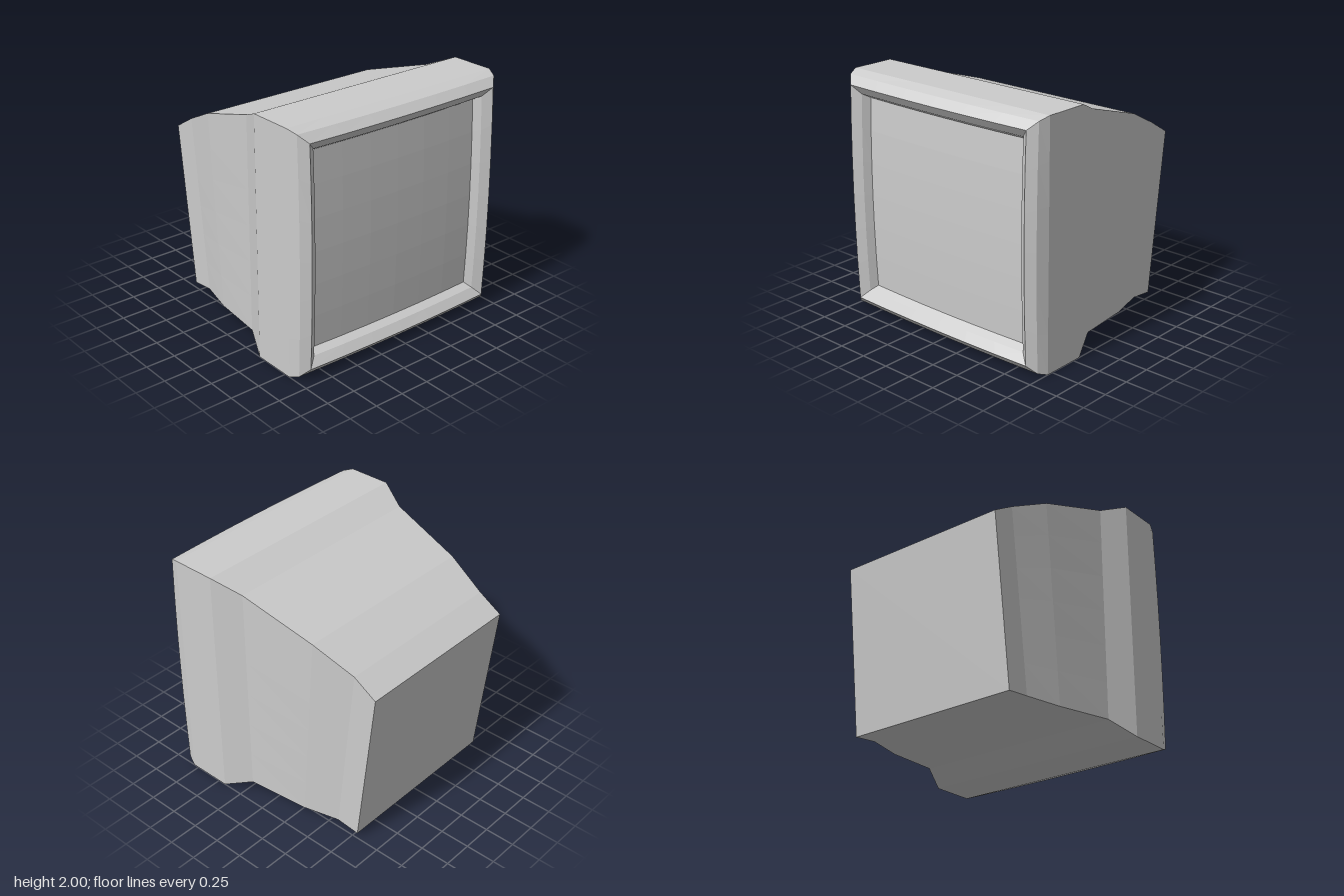
import * as THREE from 'three';

const SEG = 6; // subdivisions along each side of a square ring

// Square ring seen from +x, counterclockwise; its sides bow forward by `bow`.
function ring({ top, bot, hz, bow = 0 }) {
  const corners = [[bot, hz], [bot, -hz], [top, -hz], [top, hz]];
  const points = [];
  for (let i = 0; i < 4; i++) {
    const [p, z0] = corners[i];
    const [q, z1] = corners[(i + 1) % 4];
    for (let k = 0; k < SEG; k++) {
      const t = k / SEG;
      const u = 2 * t - 1;
      points.push([
        p[0] + (q[0] - p[0]) * t + bow * (1 - u * u),
        p[1] + (q[1] - p[1]) * t,
        z0 + (z1 - z0) * t,
      ]);
    }
  }
  return points;
}

// Upright ring centred on the screen axis
const square = (x, h, bow = 0) => ({ top: [x, 1 + h], bot: [x, 1 - h], hz: h, bow });

function addQuad(out, a, b, c, d) {
  out.push(...a, ...b, ...c, ...a, ...c, ...d);
}

// Faces between successive rings
function loft(out, sections) {
  const rings = sections.map(ring);
  for (let r = 0; r < rings.length - 1; r++) {
    const a = rings[r], b = rings[r + 1];
    for (let i = 0; i < a.length; i++) {
      const j = (i + 1) % a.length;
      addQuad(out, a[i], a[j], b[j], b[i]);
    }
  }
}

function toMesh(name, positions, material) {
  const geometry = new THREE.BufferGeometry();
  geometry.setAttribute('position', new THREE.Float32BufferAttribute(positions, 3));
  geometry.computeVertexNormals(); // unshared corners keep the facets flat
  const mesh = new THREE.Mesh(geometry, material);
  mesh.name = name;
  return mesh;
}

export function createModel() {
  const group = new THREE.Group();
  group.name = 'monitor';
  const grey = new THREE.MeshStandardMaterial({ color: 0xcccccc });
  grey.name = 'plastic grey';

  // Tapering housing, from the tilted back to the front edge
  const back = { top: [-0.96, 1.43], bot: [-0.8, 0.05], hz: 0.75 };
  const housing = [];
  loft(housing, [
    back,
    { top: [-0.76, 1.55], bot: [-0.6, 0.07], hz: 0.75 },
    { top: [-0.42, 1.71], bot: [-0.3, 0.065], hz: 0.82 },
    { top: [0.2, 1.9], bot: [0.2, 0.095], hz: 0.9 },
    square(0.43, 1),
    square(0.8, 1),
  ]);
  group.add(toMesh('housing', housing, grey));

  // Flat back panel
  const panel = [];
  const { top, bot, hz } = back;
  addQuad(panel, [...bot, hz], [...top, hz], [...top, -hz], [...bot, -hz]);
  group.add(toMesh('backPanel', panel, grey));

  // Rounded bezel, over the rim and into the recess
  const bezel = [];
  loft(bezel, [
    square(0.8, 1),
    square(0.88, 0.97, 0.02),
    square(0.94, 0.905, 0.02),
    square(0.89, 0.835, 0.02),
    square(0.83, 0.8, 0.02),
  ]);
  group.add(toMesh('bezel', bezel, grey));

  // Gently bulging screen
  const screen = [];
  const at = (i, j) => {
    const u = (2 * i) / SEG - 1, v = (2 * j) / SEG - 1;
    return [0.83 + 0.02 * (2 - u * u - v * v), 1 + 0.8 * v, -0.8 * u];
  };
  for (let i = 0; i < SEG; i++) {
    for (let j = 0; j < SEG; j++) {
      addQuad(screen, at(i, j), at(i + 1, j), at(i + 1, j + 1), at(i, j + 1));
    }
  }
  group.add(toMesh('screen', screen, grey));

  return group;
}
